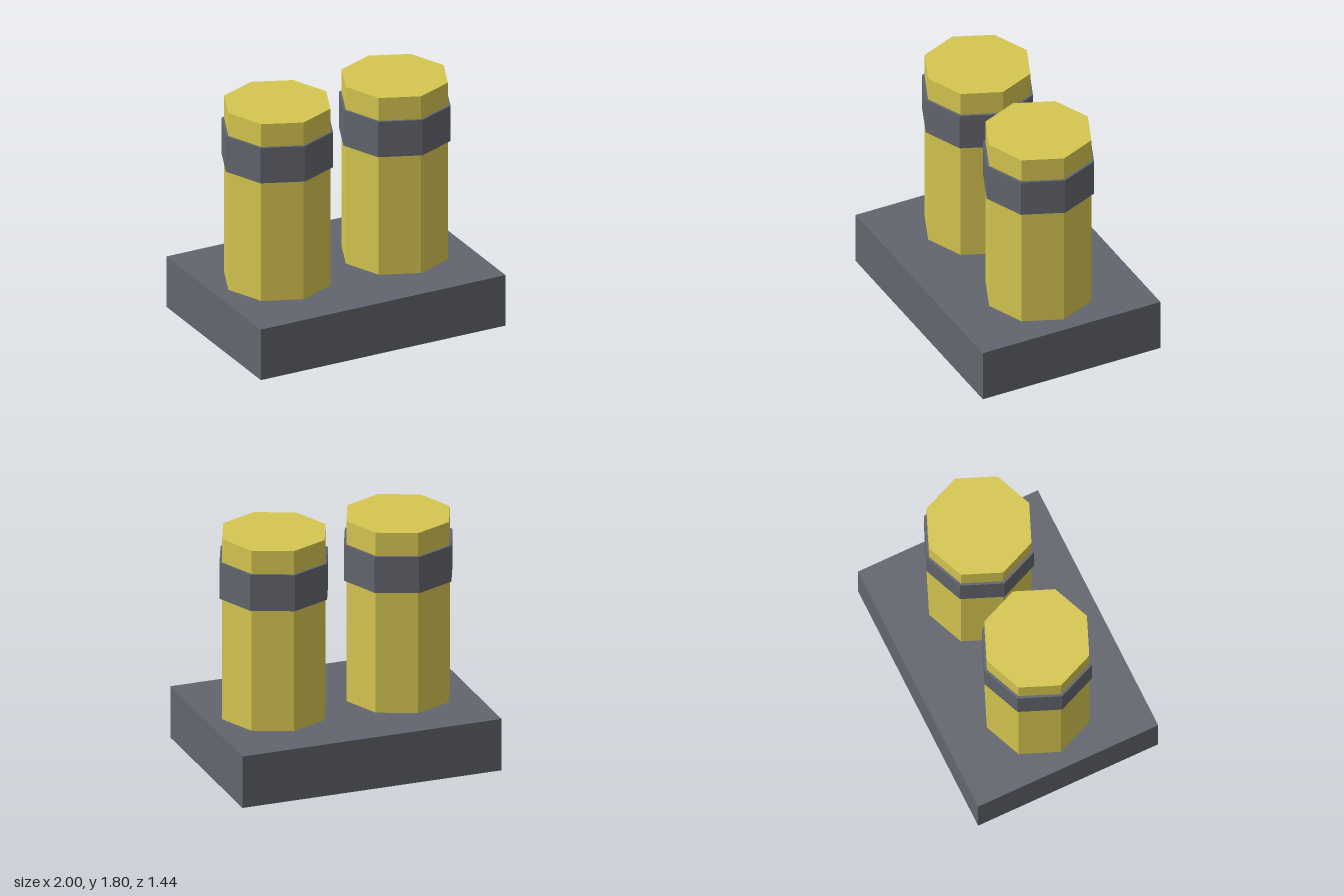
import * as THREE from 'three';

export function createModel() {
  const model = new THREE.Group();
  model.name = 'twinBollard';

  const yellow = new THREE.MeshStandardMaterial({ name: 'yellow paint', color: 0xd6c650, flatShading: true });
  const grey = new THREE.MeshStandardMaterial({ name: 'dark grey', color: 0x62656d, flatShading: true });

  const add = (parent, name, geometry, material, y) => {
    const mesh = new THREE.Mesh(geometry, material);
    mesh.name = name;
    mesh.position.y = y;
    parent.add(mesh);
  };

  // Base slab
  add(model, 'base', new THREE.BoxGeometry(2, 0.4, 1.44), grey, 0.2);

  // Two octagonal posts, each with a raised band near the top
  const postGeometry = new THREE.CylinderGeometry(0.4, 0.4, 1.4, 8);
  const bandGeometry = new THREE.CylinderGeometry(0.42, 0.42, 0.28, 8);
  for (const [name, side] of [['leftBollard', 1], ['rightBollard', -1]]) {
    const bollard = new THREE.Group();
    bollard.name = name;
    bollard.position.x = side * 0.48;
    add(bollard, 'post', postGeometry, yellow, 1.1);
    add(bollard, 'band', bandGeometry, grey, 1.48);
    model.add(bollard);
  }

  return model;
}
